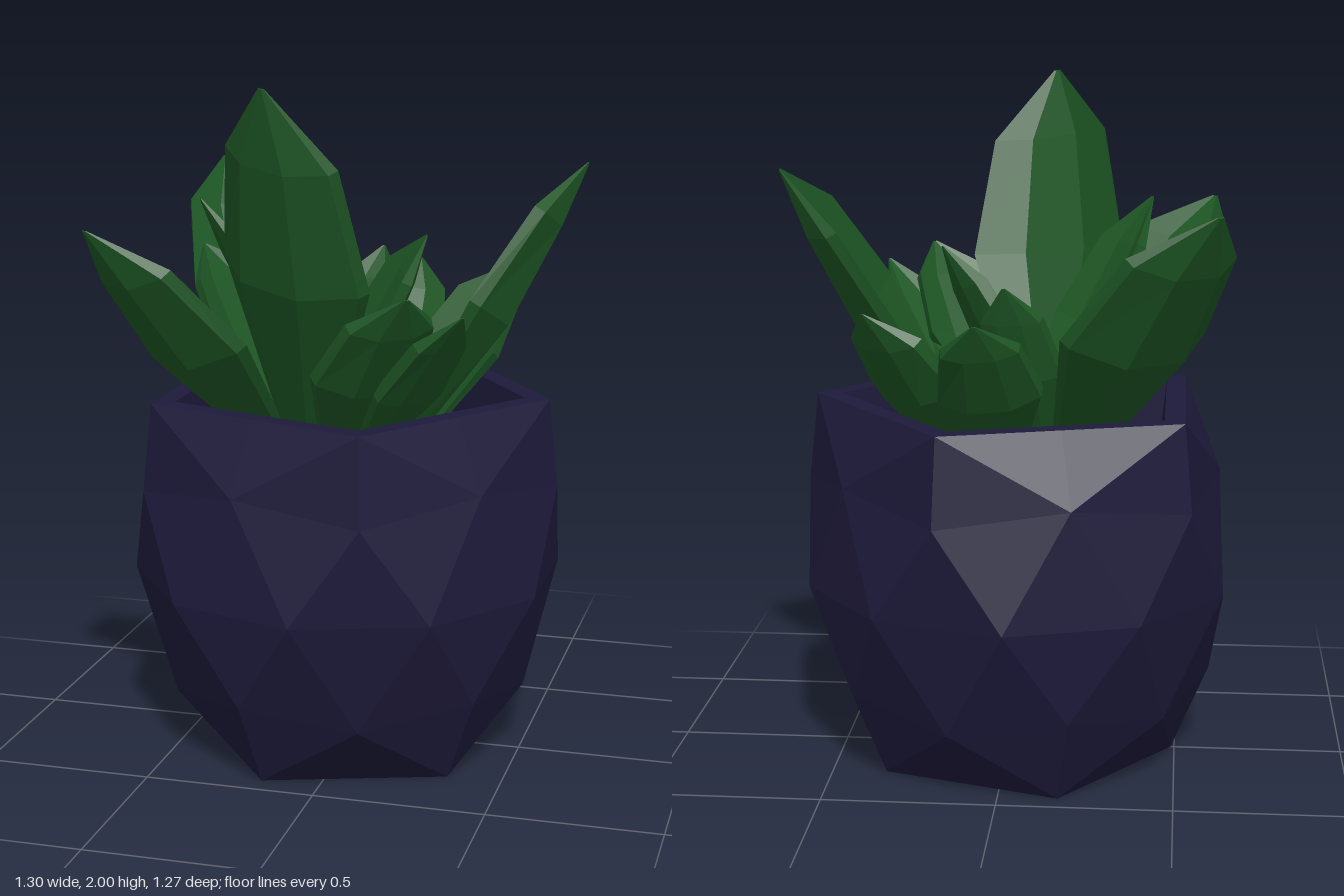
import * as THREE from 'three';

const V = (x, y, z) => new THREE.Vector3(x, y, z);

function facetedMesh(name, points, color) {
  const g = new THREE.BufferGeometry().setFromPoints(points);
  g.computeVertexNormals();
  const m = new THREE.Mesh(g, new THREE.MeshStandardMaterial({ color, flatShading: true, side: THREE.DoubleSide }));
  m.name = name;
  return m;
}

const POT_X = -0.03;

// Faceted pot: ten-sided rings [y, radius at even corners, radius at odd corners, turn, diagonal]
function makePot() {
  const K = Math.cos(Math.PI / 5);
  const rings = [
    [0, 0, 0, 0, 'a'],
    [0, 0.459 * K, 0.459, 0, 'a'],
    [0.206, 0.54, 0.568, 0, 'alt'],
    [0.54, 0.635, 0.635, 0.5, 'a'],
    [0.824, 0.63, 0.59, 0, 'b'],
    [1.08, 0.602, 0.602 * K, 0, 'alt'],
    [1.08, 0.53, 0.53 * K, 0, 'a'],
    [0.93, 0.51, 0.51 * K, 0, 'a'],
  ];
  const corner = (i, j) => {
    const [y, even, odd, turn] = rings[i];
    const a = (j + turn) * Math.PI / 5, r = j % 2 ? odd : even;
    // odd corners of the rings beside the waist sit a little higher
    const lift = j % 2 && (i === 2 || i === 4) ? 0.05 : 0;
    return V(POT_X + r * Math.cos(a), y + lift, r * Math.sin(a));
  };
  const pts = [];
  for (let i = 1; i < rings.length; i++) {
    for (let j = 0; j < 10; j++) {
      const l0 = corner(i - 1, j), l1 = corner(i - 1, j + 1);
      const u0 = corner(i, j), u1 = corner(i, j + 1);
      let d = rings[i][4];
      if (d === 'alt') d = j % 2 ? 'b' : 'a';
      if (d === 'a') pts.push(l1, l0, u0, l1, u0, u1);
      else pts.push(l1, l0, u1, l0, u0, u1);
    }
  }
  return facetedMesh('pot', pts, 0x1d1a3a);
}

// Cupped leaf: a section with a keel, swept from base to pointed tip
function makeLeaf(name, base, tip, w, twist = 0) {
  const b = V(...base), axis = V(...tip).sub(b), len = axis.length();
  axis.normalize();
  const n = V(0, 1, 0).addScaledVector(axis, -axis.y).normalize().applyAxisAngle(axis, twist);
  const s = n.clone().cross(axis);
  // along, width, bow
  const stations = [[0, 0.3, 0], [0.5, 1, 0.015], [0.81, 0.74, 0], [1, 0.04, 0]];
  const sections = stations.map(([t, f, bow]) => {
    const h = w * f, cup = 0.33 * h, edge = 0.035 * Math.min(1, f * 1.5), keel = 0.2 * h;
    return [
      [-0.96 * h, cup - edge], [-0.4 * h, -keel], [0.4 * h, -keel], [0.96 * h, cup - edge],
      [h, cup], [0.4 * h, 0.1 * h], [-0.4 * h, 0.1 * h], [-h, cup],
    ].map(([x, y]) => b.clone().addScaledVector(axis, t * len)
      .addScaledVector(s, x).addScaledVector(n, y - bow * len));
  });
  const pts = [];
  for (let i = 1; i < sections.length; i++) {
    const p = sections[i - 1], q = sections[i];
    for (let j = 0; j < 8; j++) {
      const k = (j + 1) % 8;
      pts.push(p[j], p[k], q[k], p[j], q[k], q[j]);
    }
  }
  // end caps
  const first = sections[0], last = sections[sections.length - 1];
  for (let j = 1; j < 7; j++) {
    pts.push(first[0], first[j + 1], first[j], last[0], last[j], last[j + 1]);
  }
  return facetedMesh(name, pts, 0x1d5624);
}

export function createModel() {
  const group = new THREE.Group();
  group.name = 'pottedSucculent';
  group.add(makePot());

  const soil = new THREE.Mesh(
    new THREE.CircleGeometry(0.52, 5).rotateX(-Math.PI / 2),
    new THREE.MeshStandardMaterial({ color: 0x2b1912, flatShading: true }));
  soil.position.set(POT_X, 0.935, 0);
  soil.name = 'soil';
  group.add(soil);

  // name, base, tip, half width, twist
  const leaves = [
    ['tallFrontLeaf', [-0.12, 0.92, 0.16], [-0.1, 2.0, 0.6], 0.25, -0.45],
    ['backRightLeaf', [-0.2, 0.9, -0.12], [-0.6, 1.68, -0.6], 0.25],
    ['frontRightLeaf', [-0.2, 0.9, 0.15], [-0.6, 1.61, 0.61], 0.25],
    ['leftLeaf', [0.14, 0.9, 0.15], [0.65, 1.75, -0.12], 0.24, -0.35],
    ['backLeftLeaf', [0.14, 0.9, -0.13], [0.37, 1.39, -0.45], 0.17],
    ['backLeaf', [0.0, 0.9, -0.2], [0.05, 1.38, -0.58], 0.15, 0.15],
    ['rightLeaf', [-0.17, 0.92, 0], [-0.53, 1.46, -0.17], 0.18],
    ['innerRightLeaf', [-0.04, 0.92, -0.02], [-0.41, 1.65, 0.2], 0.15],
    ['innerBackLeaf', [-0.1, 0.92, -0.14], [-0.01, 1.45, -0.35], 0.12, 0.2],
    ['innerLeftLeaf', [-0.14, 0.92, -0.05], [0.19, 1.53, -0.07], 0.15, 0.4],
    ['frontLeftLeaf', [0.01, 0.92, 0.23], [0.29, 1.46, 0.59], 0.17],
    ['lowFrontLeftLeaf', [0.06, 0.9, 0.21], [0.43, 1.41, 0.54], 0.11],
    ['smallLeaf', [0.02, 0.92, 0.14], [0.25, 1.2, 0.2], 0.07],
  ];
  for (const leaf of leaves) group.add(makeLeaf(...leaf));
  return group;
}
